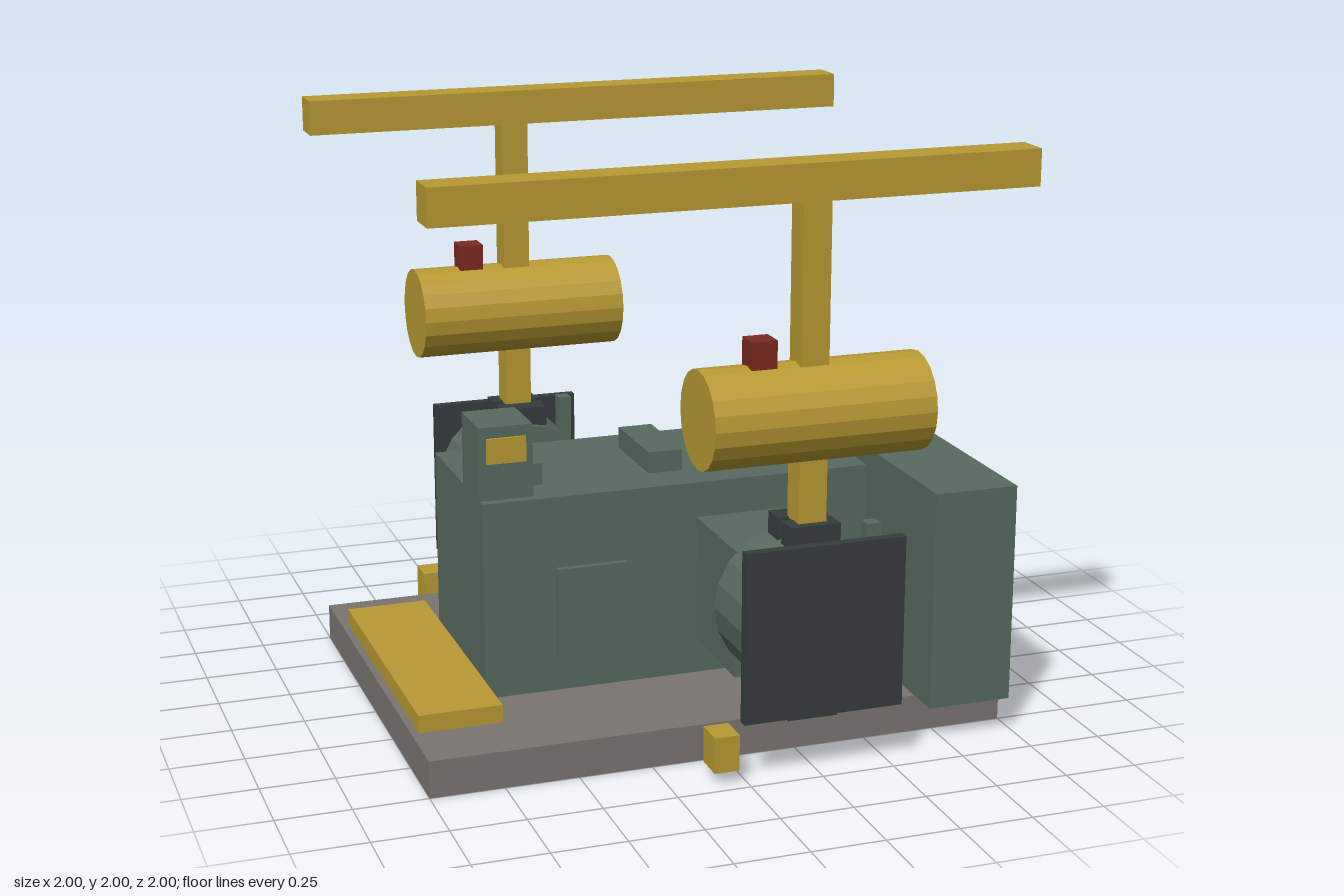
import * as THREE from 'three';

function material(name, color) {
  const m = new THREE.MeshStandardMaterial({ color });
  m.name = name;
  return m;
}

export function createModel() {
  const green = material('machine green', 0x586a5f);
  const yellow = material('safety yellow', 0xb99a33);
  const dark = material('dark steel', 0x363c3e);
  const grey = material('concrete grey', 0x7b7571);
  const red = material('signal red', 0x7c2b21);
  const model = new THREE.Group();
  model.name = 'compressor';

  function add(parent, name, geometry, mat) {
    const mesh = new THREE.Mesh(geometry, mat);
    mesh.name = name;
    parent.add(mesh);
    return mesh;
  }

  // Box given by its limits on each axis
  function box(parent, name, mat, [x0, x1], [y0, y1], [z0, z1]) {
    const mesh = add(parent, name, new THREE.BoxGeometry(x1 - x0, y1 - y0, z1 - z0), mat);
    mesh.position.set((x0 + x1) / 2, (y0 + y1) / 2, (z0 + z1) / 2);
    return mesh;
  }

  // Faceted cylinder along x or z, given by its limits on that axis
  function drum(parent, name, mat, axis, radius, [a, b], x, y, z) {
    const g = new THREE.CylinderGeometry(radius, radius, b - a, 20).toNonIndexed();
    if (axis === 'x') g.rotateZ(Math.PI / 2);
    else g.rotateX(Math.PI / 2);
    g.computeVertexNormals();
    const mesh = add(parent, name, g, mat);
    mesh.position.set(x, y, z);
    mesh.position[axis] = (a + b) / 2;
    return mesh;
  }

  // Foundation and crankcase
  box(model, 'basePlate', grey, [-1, 1], [0, 0.127], [-0.75, 0.75]);
  box(model, 'crankcase', green, [-0.69, 0.685], [0.127, 0.813], [-0.315, 0.31]);
  box(model, 'driveHousing', green, [0.685, 0.975], [0.127, 0.877], [-0.315, 0.875]);
  drum(model, 'shaftCover', dark, 'x', 0.137, [0.97, 1], 0, 0.505, 0.5);
  for (const x of [-0.5, 0, 0.495]) {
    box(model, 'topCover', green, [x - 0.061, x + 0.061], [0.81, 0.888], [-0.165, 0.16]);
  }
  box(model, 'frontAccessPanel', green, [-0.44, -0.193], [0.25, 0.565], [0.305, 0.333]);
  box(model, 'backAccessPanel', green, [0.19, 0.437], [0.25, 0.565], [-0.338, -0.31]);

  // Control box and walkway
  box(model, 'controlBox', green, [-0.69, -0.505], [0.81, 1.065], [0.063, 0.275]);
  box(model, 'controlPlate', yellow, [-0.665, -0.53], [0.94, 1.027], [0.27, 0.285]);
  box(model, 'walkway', yellow, [-0.975, -0.69], [0.127, 0.188], [-0.525, 0.52]);

  // One cylinder line per side; the back one is mirrored and offset along x
  for (const [side, s, cx] of [['front', 1, 0.248], ['back', -1, -0.25]]) {
    const line = new THREE.Group();
    line.name = side + 'CylinderLine';
    line.position.x = cx;
    model.add(line);
    const z = (a, b) => (s > 0 ? [a, b] : [-b, -a]);

    box(line, 'crosshead', green, [-0.188, 0.188], [0.25, 0.69], z(0.3, 0.69));
    drum(line, 'compressionCylinder', green, 'z', 0.262, z(0.685, 0.967), 0, 0.505, 0);
    box(line, 'cylinderHead', dark, [-0.274, 0.274], [0.215, 0.792], z(0.965, 1));

    // Valve caps above and below the cylinder
    for (const [z0, z1] of [[0.71, 0.795], [0.825, 0.907]]) {
      box(line, 'upperValveCap', dark, [-0.086, 0.086], [0.74, 0.828], z(z0, z1));
      box(line, 'lowerValveCap', dark, [-0.086, 0.086], [0.167, 0.262], z(z0, z1));
    }
    box(line, 'sidePost', green, [0.18, 0.227], [0.65, 0.813], z(0.855, 0.905));
    box(line, 'drainBlock', yellow, [-0.36, -0.275], [0.045, 0.168], z(0.857, 0.963));

    // Pulsation vessel and riser
    drum(line, 'pulsationVessel', yellow, 'x', 0.163, [-0.375, 0.375], 0, 1.192, s * 0.828);
    box(line, 'riser', yellow, [-0.048, 0.048], [0.825, 1.885], z(0.78, 0.876));
    box(line, 'reliefValve', red, [-0.212, -0.126], [1.34, 1.44], z(0.785, 0.871));

    box(model, side + 'HeaderPipe', yellow, [-1, 1], [1.878, 2], z(0.777, 0.9));
  }
  return model;
}
